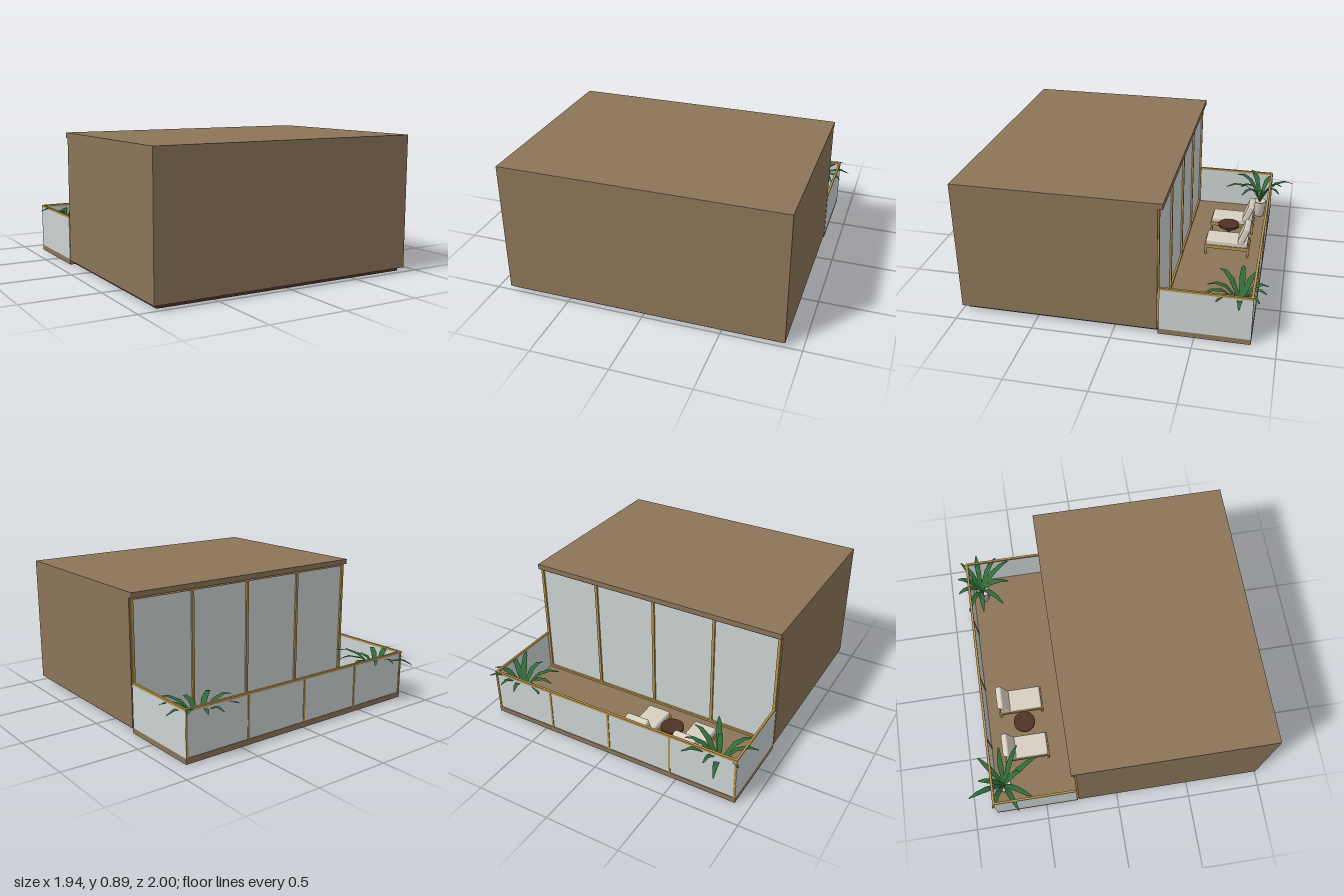
import * as THREE from 'three';
import { RoundedBoxGeometry } from 'three/addons/geometries/RoundedBoxGeometry.js';

const mat = (name, color, extra = {}) => {
  const m = new THREE.MeshStandardMaterial({ color, ...extra });
  m.name = name;
  return m;
};

export function createModel() {
  const wall = mat('wall brown', 0x8b7458);
  const dark = mat('dark wood', 0x4e3325);
  const brass = mat('brass', 0xb8934a);
  const glass = mat('pale glass', 0xcbd1d2);
  const fabric = mat('cream fabric', 0xd8cfc2);
  const green = mat('leaf green', 0x2f6b37, { side: THREE.DoubleSide });

  const model = new THREE.Group();
  model.name = 'apartmentWithBalcony';

  const add = (name, geo, material, parent = model) => {
    const m = new THREE.Mesh(geo, material);
    m.name = name;
    parent.add(m);
    return m;
  };
  // box given by its extents
  const box = (name, material, x0, x1, y0, y1, z0, z1, parent = model) => {
    const m = add(name, new THREE.BoxGeometry(x1 - x0, y1 - y0, z1 - z0), material, parent);
    m.position.set((x0 + x1) / 2, (y0 + y1) / 2, (z0 + z1) / 2);
    return m;
  };

  const L = -0.905, R = 0.895, B = -0.845;

  // Room shell, open at the back
  box('plinth', dark, L + 0.028, R - 0.028, 0.006, 0.03, -0.27, 0.972);
  box('floor', wall, L, R, 0.03, 0.04, -0.27, 1);
  box('frontWall', wall, L, R, 0.04, 0.855, 0.97, 1);
  box('rightWall', wall, L, L + 0.022, 0.04, 0.855, -0.27, 0.97);
  box('leftWall', wall, R - 0.022, R, 0.04, 0.855, -0.27, 0.97);
  box('roof', wall, L, R, 0.855, 0.89, -0.3, 1);

  // Glazed back wall
  box('windowGlass', glass, L + 0.02, R - 0.02, 0.05, 0.845, -0.268, -0.262);
  const wx0 = L + 0.008, wx1 = R - 0.008;
  box('windowHeader', brass, wx0, wx1, 0.84, 0.855, -0.28, -0.258);
  box('windowSill', brass, wx0, wx1, 0.036, 0.05, -0.28, -0.258);
  for (let i = 0; i <= 4; i++) {
    const x = THREE.MathUtils.lerp(wx0 + 0.009, wx1 - 0.009, i / 4);
    box('windowMullion', brass, x - 0.009, x + 0.009, 0.05, 0.84, -0.28, -0.258);
  }

  // Balcony deck and glass balustrade
  box('balconyDeck', wall, L, R, 0, 0.036, B, -0.276);
  box('backBalustradeGlass', glass, L + 0.008, R - 0.008, 0.036, 0.316, B + 0.004, B + 0.012);
  box('backRail', brass, L, R, 0.316, 0.331, B, B + 0.016);
  for (const [x0, side] of [[L, 'right'], [R - 0.014, 'left']]) {
    const gx = side === 'right' ? x0 : x0 + 0.006;
    box(side + 'BalustradeGlass', glass, gx, gx + 0.008, 0.036, 0.316, B + 0.002, -0.281);
    box(side + 'Rail', brass, x0, x0 + 0.014, 0.316, 0.331, B + 0.016, -0.281);
  }
  for (let i = 0; i <= 4; i++) {
    const x = THREE.MathUtils.lerp(L + 0.008, R - 0.008, i / 4);
    box('balustradePost', brass, x - 0.007, x + 0.007, 0.036, 0.316, B, B + 0.016);
  }

  // Sun loungers facing the room
  for (const x of [-0.493, -0.147]) {
    const g = new THREE.Group();
    g.name = 'lounger';
    g.position.x = x;
    model.add(g);
    for (const s of [-1, 1]) {
      box('sideFrame', brass, s * 0.079 - 0.005, s * 0.079 + 0.005, 0.085, 0.11, -0.745, -0.427, g);
      for (const z of [-0.735, -0.437])
        box('leg', brass, s * 0.079 - 0.006, s * 0.079 + 0.006, 0.036, 0.085, z - 0.007, z + 0.007, g);
    }
    box('footFrame', brass, -0.074, 0.074, 0.085, 0.11, -0.437, -0.427, g);
    box('headFrame', brass, -0.074, 0.074, 0.085, 0.11, -0.745, -0.735, g);
    const seat = add('seatCushion', new RoundedBoxGeometry(0.156, 0.05, 0.295, 3, 0.014), fabric, g);
    seat.position.set(0, 0.122, -0.583);
    const back = add('backCushion', new RoundedBoxGeometry(0.16, 0.14, 0.045, 3, 0.014), fabric, g);
    back.position.set(0, 0.195, -0.702);
    back.rotation.x = -0.35;
  }

  // Side table
  const top = add('tableTop', new THREE.CylinderGeometry(0.075, 0.075, 0.016, 32), dark);
  top.position.set(-0.32, 0.15, -0.572);
  const stem = add('tableStem', new THREE.CylinderGeometry(0.014, 0.014, 0.1, 16), dark);
  stem.position.set(-0.32, 0.094, -0.572);
  const foot = add('tableFoot', new THREE.CylinderGeometry(0.045, 0.045, 0.01, 24), dark);
  foot.position.set(-0.32, 0.041, -0.572);

  // Arching leaf: tapered strip from the plant centre to a tip offset
  const stations = [[0, 0.15, 0.007], [0.2, 0.24, 0.014], [0.45, 0.3, 0.019], [0.75, 0.318, 0.014], [1, 0.3, 0.004]];
  const leafGeometry = (dx, dz, lift) => {
    const len = Math.hypot(dx, dz), nx = -dz / len, nz = dx / len;
    const pos = [], idx = [];
    stations.forEach(([t, y, w], i) => {
      const h = y + lift * t;
      pos.push(dx * t + nx * w, h, dz * t + nz * w, dx * t - nx * w, h, dz * t - nz * w);
      if (i) {
        const a = 2 * i - 2;
        idx.push(a, a + 2, a + 1, a + 1, a + 2, a + 3);
      }
    });
    const g = new THREE.BufferGeometry();
    g.setAttribute('position', new THREE.Float32BufferAttribute(pos, 3));
    g.setIndex(idx);
    g.computeVertexNormals();
    return g;
  };

  // Potted plants in the back corners, with leaf tips as x, z
  const plants = [
    { x: -0.75, z: -0.765, tips: [[-0.83, -1], [-0.725, -0.925], [-0.57, -0.91], [-0.515, -0.765], [-0.52, -0.64],
      [-0.62, -0.51], [-0.69, -0.62], [-0.89, -0.575], [-0.965, -0.675], [-0.92, -0.85]] },
    { x: 0.738, z: -0.758, tips: [[0.68, -0.92], [0.79, -0.915], [0.913, -0.88], [0.97, -0.765], [0.925, -0.625],
      [0.88, -0.535], [0.727, -0.55], [0.547, -0.605], [0.5, -0.75], [0.525, -0.855]] },
  ];
  const potProfile = [[0, 0], [0.036, 0], [0.05, 0.12], [0.044, 0.12], [0.042, 0.105], [0, 0.105]]
    .map(([x, y]) => new THREE.Vector2(x, y));
  for (const p of plants) {
    const g = new THREE.Group();
    g.name = 'pottedPlant';
    g.position.set(p.x, 0, p.z);
    model.add(g);
    add('pot', new THREE.LatheGeometry(potProfile, 24), fabric, g).position.y = 0.036;
    p.tips.forEach(([x, z], i) => add('leaf', leafGeometry(x - p.x, z - p.z, (i % 3 - 1) * 0.012), green, g));
  }
  return model;
}
